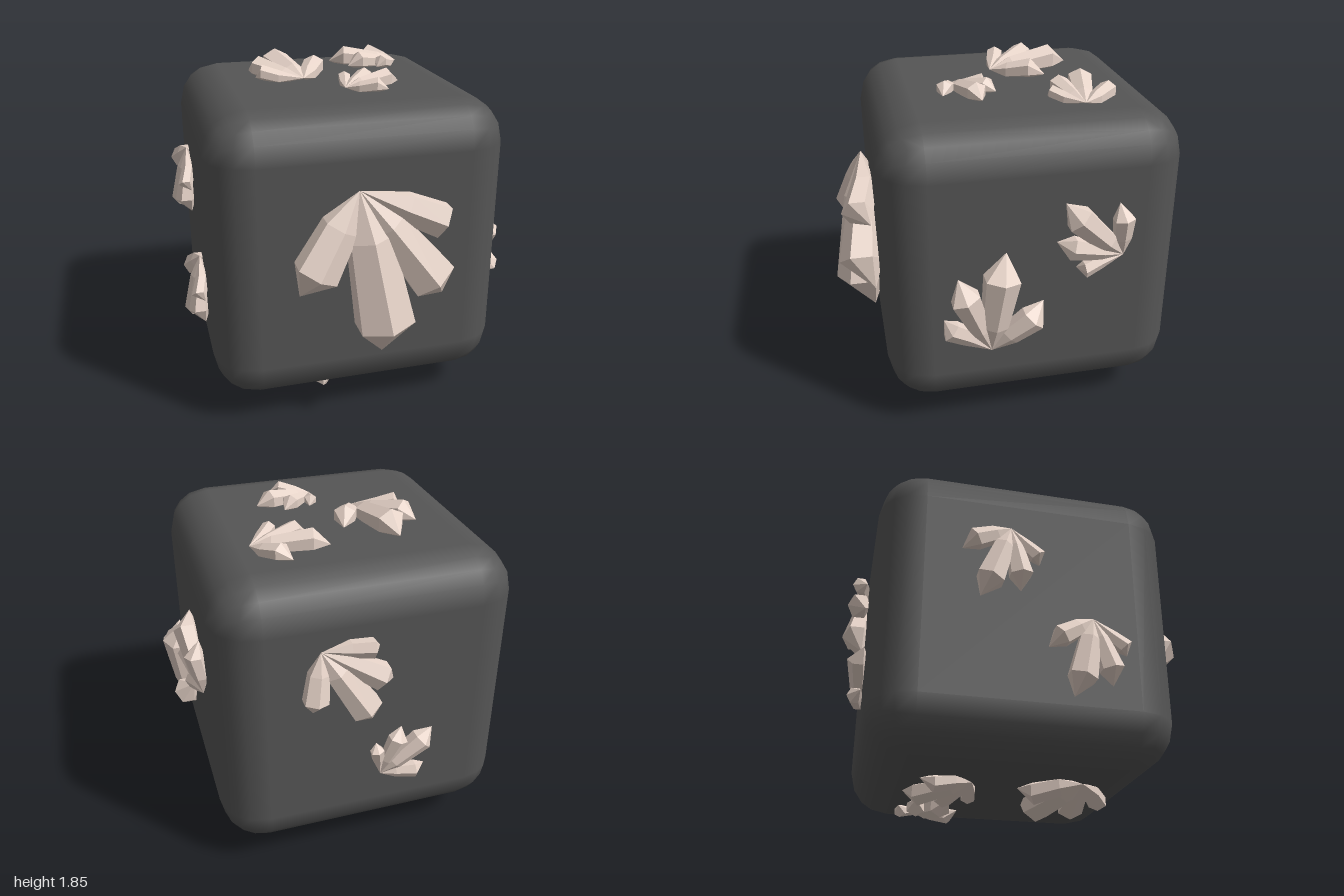
import * as THREE from 'three';
import { RoundedBoxGeometry } from 'three/addons/geometries/RoundedBoxGeometry.js';

const SIZE = 1.59;
const V = (x, y, z) => new THREE.Vector3(x, y, z);

// Double-pointed six-sided crystal lying on the face plane, root at the origin.
// Stations are [u, v, radius] for the lower ring, upper ring and tip.
function crystalGeometry([low, high, tip]) {
  const dir = V(tip[0], tip[1], 0).normalize();
  const side = V(-dir.y, dir.x, 0);
  const ring = ([u, v, r], lift) => Array.from({ length: 6 }, (_, k) => {
    const a = (k + 0.5) * Math.PI / 3;
    return V(u, v, lift + r * Math.sin(a)).addScaledVector(side, r * 1.15 * Math.cos(a));
  });
  const root = V(0, 0, 0.04);
  const end = V(tip[0], tip[1], 0.03);
  const L = ring(low, 0.045);
  const H = ring(high, 0.095);
  const pts = [];
  for (let k = 0; k < 6; k++) {
    const n = (k + 1) % 6;
    pts.push(root, L[n], L[k]);
    pts.push(L[k], L[n], H[n], L[k], H[n], H[k]);
    pts.push(H[k], H[n], end);
  }
  const geo = new THREE.BufferGeometry().setFromPoints(pts);
  geo.computeVertexNormals();
  return geo;
}

export function createModel() {
  const model = new THREE.Group();
  model.name = 'crystalCube';
  const body = new THREE.Group();
  body.name = 'body';
  body.position.set(-0.015, 0.94, -0.047);
  model.add(body);

  // Bevelled dark cube
  const cube = new THREE.Mesh(
    new RoundedBoxGeometry(SIZE, SIZE, SIZE, 2, 0.235),
    new THREE.MeshStandardMaterial({ color: 0x555555 })
  );
  cube.name = 'cube';
  body.add(cube);

  // One fan of four crystals, reused everywhere
  const crystalMaterial = new THREE.MeshStandardMaterial({ color: 0xe6d3c8, flatShading: true });
  const fan = {
    mainCrystal: [[-0.05, 0.25, 0.11], [-0.13, 0.73, 0.145], [-0.14, 0.94]],
    thickCrystal: [[0.10, 0.18, 0.09], [0.24, 0.40, 0.11], [0.31, 0.55]],
    leaningCrystal: [[-0.15, 0.19, 0.085], [-0.38, 0.495, 0.12], [-0.47, 0.63]],
    smallCrystal: [[-0.24, 0.11, 0.075], [-0.42, 0.18, 0.085], [-0.485, 0.23]],
  };
  const parts = Object.entries(fan).map(([name, stations]) => [name, crystalGeometry(stations)]);

  // Per face: its right and up axes, then clusters as [u, v, degrees, scale]
  const faces = {
    front: [V(1, 0, 0), V(0, 1, 0), [[-0.055, 0.42, 180, 1]]],
    right: [V(0, 0, -1), V(0, 1, 0), [[-0.257, -0.42, -16, 0.62], [0.443, 0.08, 36, 0.48]]],
    top: [V(1, 0, 0), V(0, 0, -1),
      [[-0.155, -0.067, 4, 0.51], [0.505, 0.303, 69, 0.43], [0.015, -0.317, -80, 0.37]]],
    back: [V(-1, 0, 0), V(0, 1, 0), [[-0.29, 0.46, -157, 0.56], [0.045, -0.38, -57, 0.4]]],
    left: [V(0, 0, 1), V(0, 1, 0), [[-0.113, 0.41, 151, 0.48], [0.317, -0.08, 157, 0.48]]],
    bottom: [V(1, 0, 0), V(0, 0, 1),
      [[-0.365, 0.377, -122, 0.57], [-0.245, -0.193, -153, 0.44], [0.485, -0.393, 61, 0.41]]],
  };
  // "right" and "left" here are the viewer's; names use the model's own sides
  const ownSide = { right: 'left', left: 'right' };

  for (const [key, [u, v, clusters]] of Object.entries(faces)) {
    const normal = u.clone().cross(v);
    const face = new THREE.Group();
    face.name = (ownSide[key] || key) + 'Crystals';
    face.quaternion.setFromRotationMatrix(new THREE.Matrix4().makeBasis(u, v, normal));
    face.position.copy(normal).multiplyScalar(SIZE / 2);
    body.add(face);
    clusters.forEach(([x, y, degrees, scale], i) => {
      const cluster = new THREE.Group();
      cluster.name = 'cluster' + (i + 1);
      cluster.position.set(x, y, 0);
      cluster.rotation.z = THREE.MathUtils.degToRad(degrees);
      cluster.scale.setScalar(scale);
      for (const [name, geo] of parts) {
        const mesh = new THREE.Mesh(geo, crystalMaterial);
        mesh.name = name;
        cluster.add(mesh);
      }
      face.add(cluster);
    });
  }
  return model;
}
